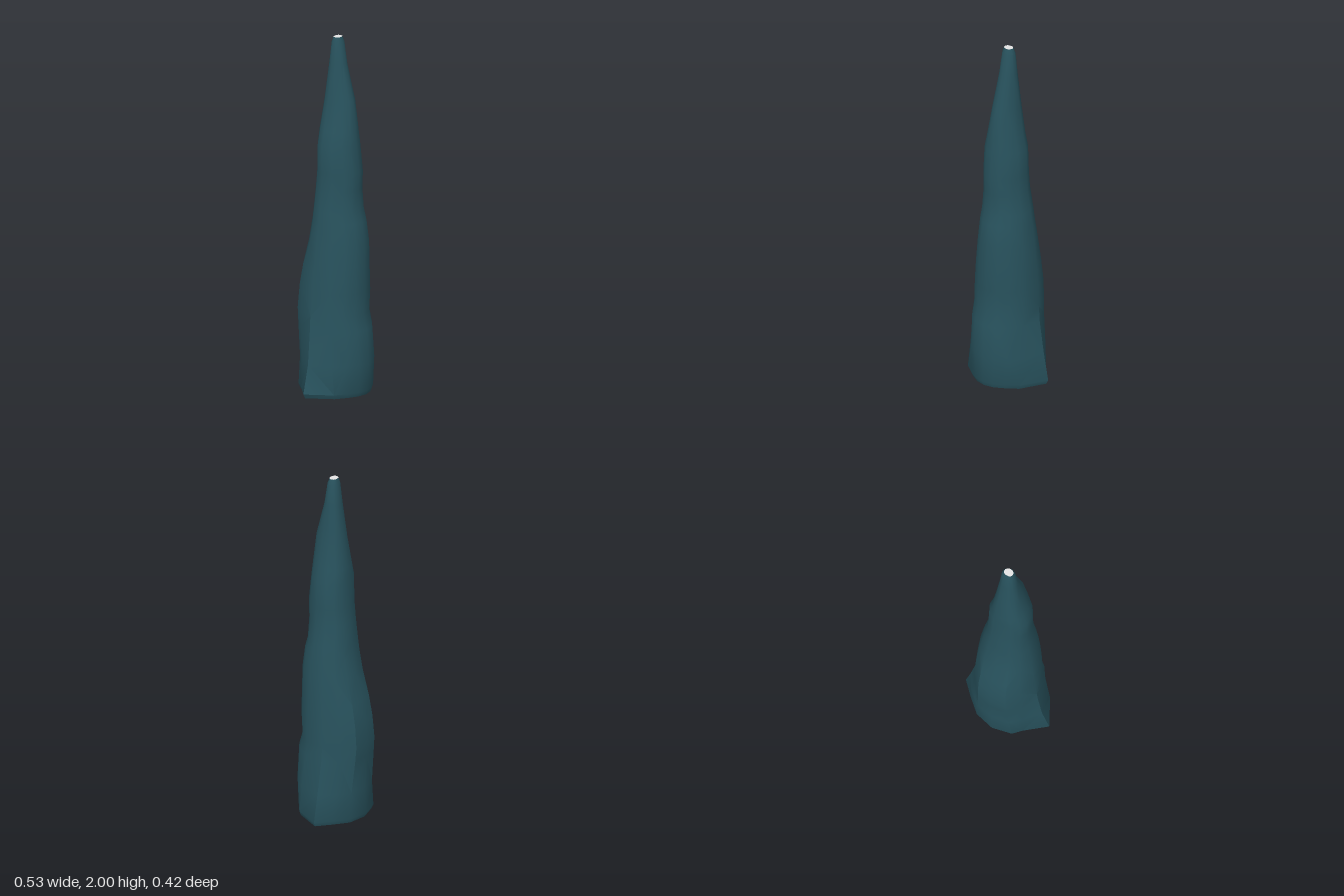
import * as THREE from 'three';
import { toCreasedNormals } from 'three/addons/utils/BufferGeometryUtils.js';

// Unit outlines, walked from the left side (+x) through the front (+z)
const baseOutline = [
  [1, -0.17], [0.7, 0.55], [0.45, 0.78], [0.23, 0.94], [0, 1], [-0.23, 0.94], [-0.45, 0.78], [-0.69, 0.55],
  [-1, -0.17], [-0.58, -0.64], [-0.42, -0.87], [0, -1], [0.42, -0.87], [0.72, -0.53],
];
const upperOutline = [
  [1, -0.2], [0.97, 0.32], [0.72, 0.7], [0.4, 0.93], [0, 1], [-0.4, 0.93], [-0.72, 0.7], [-0.97, 0.32],
  [-1, -0.2], [-0.82, -0.66], [-0.48, -0.96], [0, -1], [0.48, -0.96], [0.82, -0.66],
];

// Height, right, left, back and front extents, blend towards the upper outline
const sections = [
  [0, -0.25, 0.25, -0.19, 0.195, 0],
  [0.025, -0.265, 0.262, -0.2, 0.205, 0],
  [0.18, -0.22, 0.23, -0.193, 0.21, 0.45],
  [0.37, -0.197, 0.197, -0.204, 0.202, 0.7],
  [0.45, -0.19, 0.192, -0.21, 0.178, 0.75],
  [0.58, -0.178, 0.187, -0.2, 0.186, 0.8],
  [0.7, -0.168, 0.18, -0.178, 0.182, 0.85],
  [0.85, -0.15, 0.17, -0.142, 0.178, 0.9],
  [0.97, -0.137, 0.155, -0.122, 0.163, 0.95],
  [1.03, -0.13, 0.147, -0.115, 0.146, 1],
  [1.15, -0.116, 0.127, -0.104, 0.143, 1],
  [1.25, -0.115, 0.124, -0.094, 0.148, 1],
  [1.4, -0.115, 0.12, -0.09, 0.132, 1],
  [1.48, -0.094, 0.1, -0.085, 0.126, 1],
  [1.65, -0.063, 0.08, -0.064, 0.105, 1],
  [1.85, -0.038, 0.06, -0.042, 0.053, 1],
  [1.97, -0.025, 0.05, -0.03, 0.034, 1],
  [2, -0.015, 0.038, -0.02, 0.023, 1],
];

// Scales the blended outline to a section's own extents
function ring([y, right, left, back, front, blend]) {
  const cx = (left + right) / 2;
  return baseOutline.map(([bx, bz], i) => {
    const [ux, uz] = upperOutline[i];
    const x = bx + (ux - bx) * blend;
    const z = bz + (uz - bz) * blend;
    const pz = z > 0 ? z * front : -z * back;
    return [cx + x * (left - right) / 2, y, pz];
  });
}

function indexedGeometry(points, index) {
  const geometry = new THREE.BufferGeometry();
  geometry.setAttribute('position', new THREE.Float32BufferAttribute(points.flat(), 3));
  geometry.setIndex(index);
  geometry.computeVertexNormals();
  return geometry;
}

// Skin joining consecutive rings
function loft(rings) {
  const n = rings[0].length;
  const index = [];
  for (let r = 0; r < rings.length - 1; r++) {
    for (let i = 0; i < n; i++) {
      const a = r * n + i, b = r * n + (i + 1) % n;
      const c = a + n, d = b + n;
      // Alternate the diagonal for an irregular, chipped surface
      if ((r + i) % 2) index.push(a, c, b, b, c, d);
      else index.push(a, c, d, a, d, b);
    }
  }
  return toCreasedNormals(indexedGeometry(rings.flat(), index), 0.6);
}

// Fan closing one end
function cap(points, up) {
  const n = points.length;
  const centre = [0, 1, 2].map((k) => points.reduce((s, p) => s + p[k], 0) / n);
  const index = [];
  for (let i = 0; i < n; i++) {
    const j = (i + 1) % n;
    index.push(n, ...(up ? [j, i] : [i, j]));
  }
  return indexedGeometry([...points, centre], index);
}

export function createModel() {
  const teal = new THREE.MeshStandardMaterial({ color: 0x28525d });
  teal.name = 'darkTeal';
  const pale = new THREE.MeshStandardMaterial({ color: 0xe4e4e4 });
  pale.name = 'paleGrey';

  const model = new THREE.Group();
  model.name = 'rockSpire';
  const add = (name, geometry, material) => {
    const mesh = new THREE.Mesh(geometry, material);
    mesh.name = name;
    model.add(mesh);
  };

  const rings = sections.map(ring);
  add('spireBody', loft(rings), teal);
  add('tipCap', cap(rings[rings.length - 1], true), pale);
  add('baseCap', cap(rings[0], false), pale);
  return model;
}
